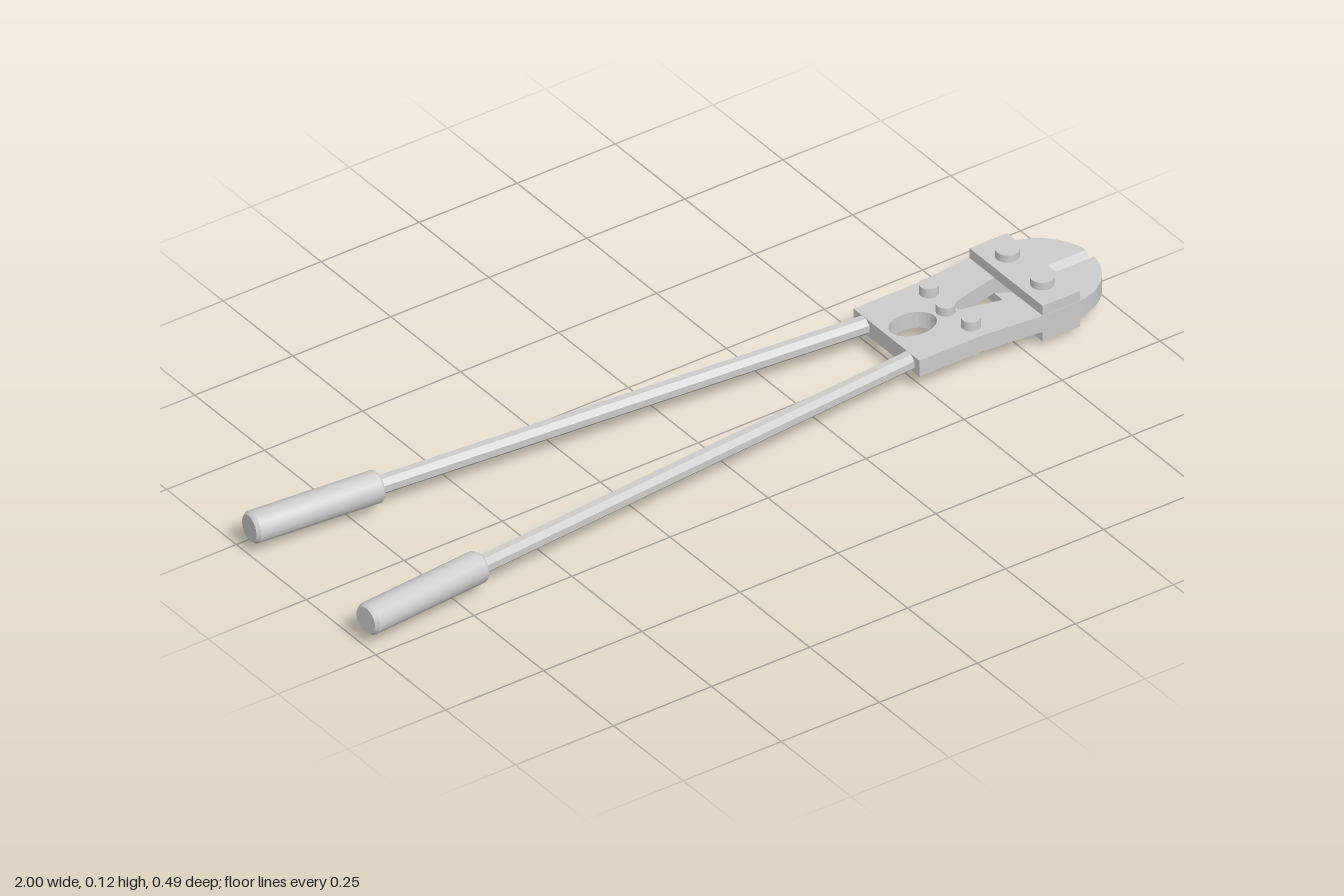
import * as THREE from 'three';
import { toCreasedNormals } from 'three/addons/utils/BufferGeometryUtils.js';

const MID = 0.0625; // height of the tool's middle plane
const THICK = 0.04; // thickness of the head
const grey = new THREE.MeshStandardMaterial({ color: 0xcccccc });
const greyFlat = new THREE.MeshStandardMaterial({ color: 0xcccccc, flatShading: true });

function add(parent, name, geometry, material = grey) {
  const mesh = new THREE.Mesh(geometry, material);
  mesh.name = name;
  parent.add(mesh);
  return mesh;
}

// Upright pin centred on the middle plane
function pin(parent, name, x, z, radius, height) {
  add(parent, name, new THREE.CylinderGeometry(radius, radius, height, 24)).position.set(x, 0, z);
}

// Outline of one half of the head in x and z, from the centre seam outwards
function headShape() {
  const s = new THREE.Shape();
  s.moveTo(0.48, 0);
  s.lineTo(0.48, 0.118);
  s.lineTo(0.64, 0.118);
  s.lineTo(0.785, 0.132);
  s.lineTo(0.868, 0.132);
  s.absellipse(0.868, 0, 0.132, 0.132, Math.PI / 2, Math.asin(0.015 / 0.132), true);
  s.lineTo(0.83, 0.015);
  s.lineTo(0.785, 0.043);
  s.lineTo(0.655, 0.012);
  s.lineTo(0.655, 0);
  s.lineTo(0.602, 0);
  s.absellipse(0.547, 0, 0.055, 0.04, 0, Math.PI, false);
  s.closePath();
  return s;
}

function createHalf() {
  const half = new THREE.Group();

  // Head plate with jaw
  const head = new THREE.ExtrudeGeometry(headShape(), { depth: THICK, bevelEnabled: false, curveSegments: 20 });
  head.rotateX(Math.PI / 2).translate(0, THICK / 2, 0);
  add(half, 'jawPlate', toCreasedNormals(head, 0.5));

  // Bevelled cutting edge meeting the other jaw at the seam
  const edge = new THREE.Shape([
    new THREE.Vector2(0, 0),
    new THREE.Vector2(-0.015, THICK / 2),
    new THREE.Vector2(-0.015, -THICK / 2),
  ]);
  const blade = new THREE.ExtrudeGeometry(edge, { depth: 0.169, bevelEnabled: false });
  blade.rotateY(Math.PI / 2).translate(0.83, 0, 0);
  add(half, 'cuttingEdge', blade, greyFlat);

  // Pivot pins
  pin(half, 'jawBolt', 0.833, 0.0625, 0.026, 0.125);
  pin(half, 'linkPin', 0.642, 0.075, 0.021, 0.084);

  // Handle, lying along -x and splayed outwards
  const handle = new THREE.Group();
  handle.name = 'handle';
  handle.position.set(0.485, 0, 0.08);
  handle.rotation.y = 0.0867;
  half.add(handle);

  const rod = new THREE.CylinderGeometry(0.021, 0.021, 1.2, 8);
  rod.rotateY(Math.PI / 8).rotateZ(Math.PI / 2).translate(-0.6, 0, 0);
  add(handle, 'rod', rod, greyFlat);

  // Grip with softened ends
  const profile = [[0, 0], [0.033, 0], [0.036, 0.004], [0.036, 0.301], [0.03, 0.309], [0, 0.309]];
  const grip = new THREE.LatheGeometry(profile.map(([r, y]) => new THREE.Vector2(r, y)), 16);
  grip.rotateZ(Math.PI / 2).translate(-1.178, 0, 0);
  add(handle, 'grip', toCreasedNormals(grip, 0.6));
  return half;
}

export function createModel() {
  const model = new THREE.Group();
  model.name = 'boltCutter';
  const tool = new THREE.Group();
  tool.name = 'tool';
  tool.position.y = MID;
  model.add(tool);

  // Two identical halves, one turned over about the long axis
  ['left', 'right'].forEach((side, i) => {
    const half = createHalf();
    half.name = side === 'left' ? 'frontHalf' : 'backHalf';
    half.rotation.x = i * Math.PI;
    tool.add(half);
  });

  // Clamping plates above and below the jaws
  for (const s of [1, -1]) {
    const plate = add(tool, s > 0 ? 'upperClampPlate' : 'lowerClampPlate', new THREE.BoxGeometry(0.096, 0.025, 0.262));
    plate.position.set(0.833, s * (THICK / 2 + 0.012), 0);
  }

  // Pin on the seam between the halves
  pin(tool, 'centrePin', 0.631, 0, 0.021, 0.08);
  return model;
}
